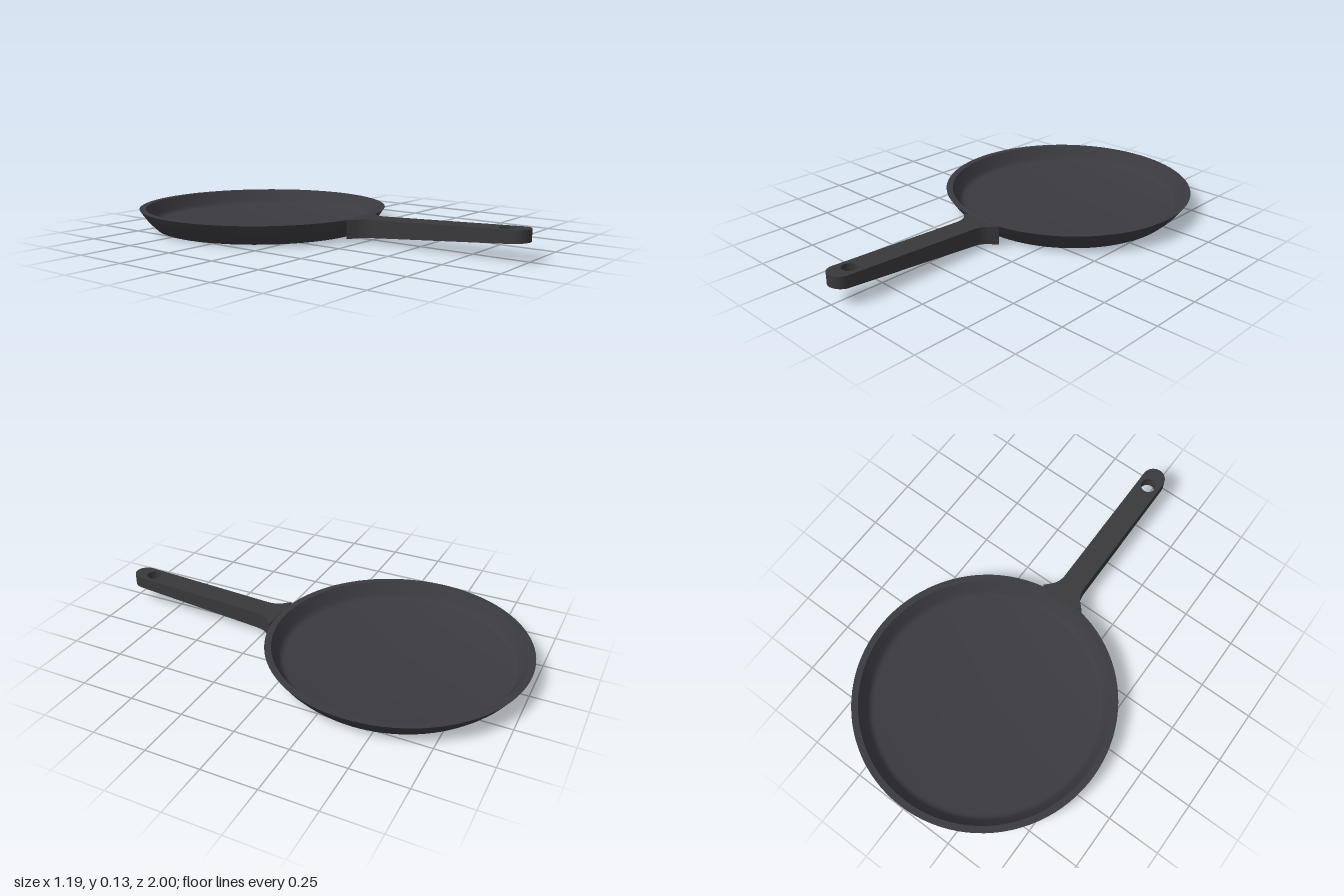
import * as THREE from 'three';
import { toCreasedNormals } from 'three/addons/utils/BufferGeometryUtils.js';

const PAN_Z = -0.405; // centre of the pan
const HALF = 0.055;   // half width of the handle
const TIP_Z = 1 - HALF;
const ROOT_Z = 0.187;

export function createModel() {
  const group = new THREE.Group();
  const panMaterial = new THREE.MeshStandardMaterial({ color: 0x3b3a40 });
  panMaterial.name = 'dark iron';
  const handleMaterial = new THREE.MeshStandardMaterial({ color: 0x39393c });
  handleMaterial.name = 'dark handle';

  // Shallow pan: underside, flared wall, flat rim, inner wall, rounded corner and low floor
  const profile = [
    [0, 0], [0.515, 0], [0.542, 0.026], [0.565, 0.052], [0.582, 0.076], [0.595, 0.095],
    [0.565, 0.095], [0.549, 0.068], [0.534, 0.043], [0.527, 0.034], [0.518, 0.027],
    [0.506, 0.024], [0, 0.024],
  ].map(([x, y]) => new THREE.Vector2(x, y));
  const pan = new THREE.Mesh(
    toCreasedNormals(new THREE.LatheGeometry(profile, 96), 0.45), panMaterial);
  pan.name = 'pan';
  pan.position.z = PAN_Z;
  group.add(pan);

  // Handle outline seen from above: flared root, rounded end, hanging hole
  const outline = new THREE.Shape();
  outline.moveTo(-0.11, ROOT_Z);
  outline.lineTo(0.11, ROOT_Z);
  outline.lineTo(0.078, 0.22);
  outline.quadraticCurveTo(HALF, 0.245, HALF, 0.29);
  outline.lineTo(HALF, TIP_Z);
  outline.absarc(0, TIP_Z, HALF, 0, Math.PI, false);
  outline.lineTo(-HALF, 0.29);
  outline.quadraticCurveTo(-HALF, 0.245, -0.078, 0.22);
  outline.lineTo(-0.11, ROOT_Z);
  const hole = new THREE.Path();
  hole.absarc(0, 0.9, 0.035, 0, Math.PI * 2, true);
  outline.holes.push(hole);

  const handleGeometry = new THREE.ExtrudeGeometry(outline, {
    depth: 1, bevelEnabled: false, curveSegments: 20,
  });
  handleGeometry.rotateX(Math.PI / 2);

  // Taper the thickness and raise the handle towards its end
  const p = handleGeometry.attributes.position;
  for (let i = 0; i < p.count; i++) {
    const t = (p.getZ(i) - ROOT_Z) / (1 - ROOT_Z);
    const bottom = THREE.MathUtils.lerp(0.012, 0.079, t);
    const top = THREE.MathUtils.lerp(0.097, 0.132, t);
    p.setY(i, THREE.MathUtils.lerp(bottom, top, p.getY(i) + 1));
  }
  const handle = new THREE.Mesh(toCreasedNormals(handleGeometry, 0.5), handleMaterial);
  handle.name = 'handle';
  group.add(handle);

  return group;
}
